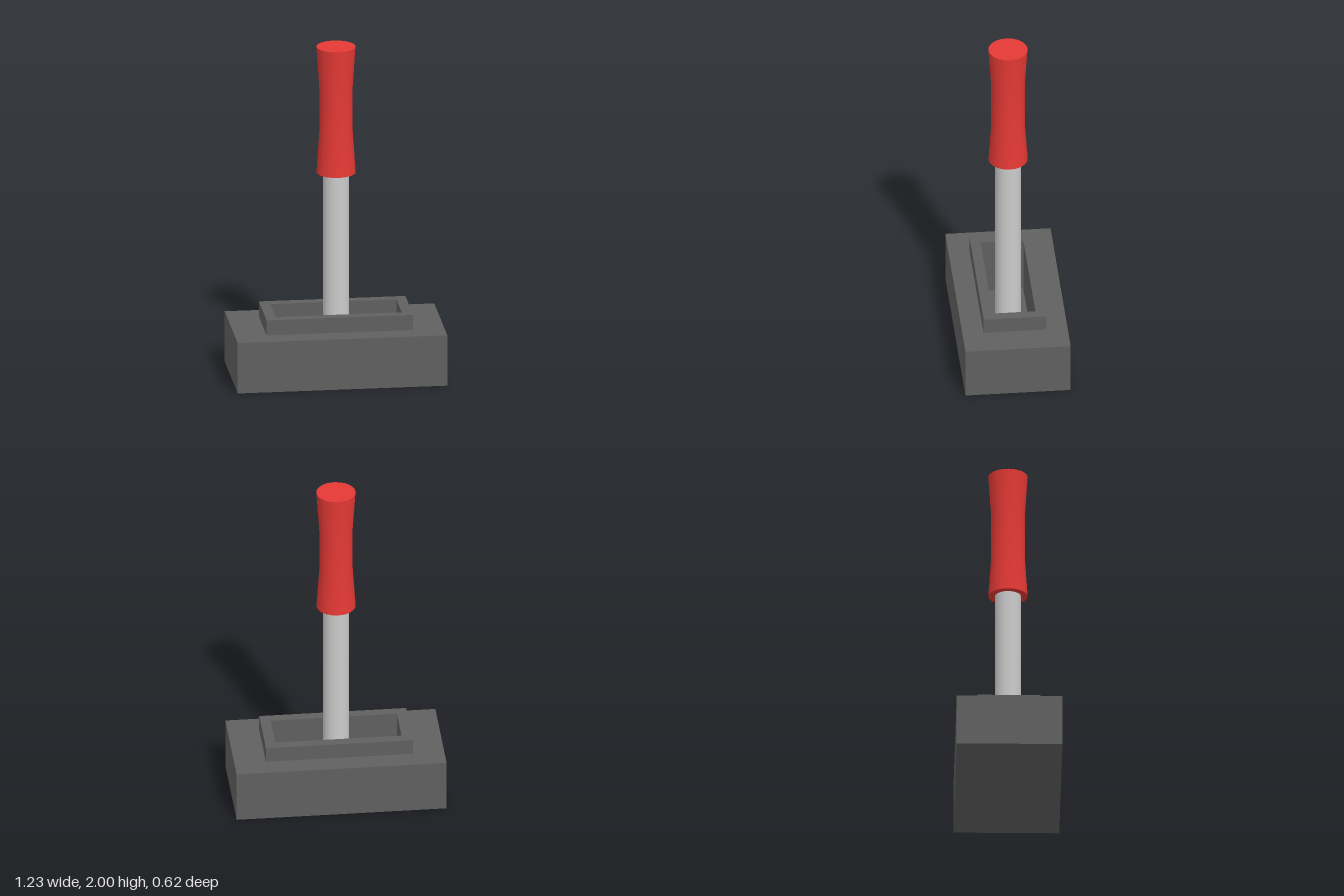
import * as THREE from 'three';

const DARK = 0x606060, RED = 0xe53935, GREY = 0xcccccc;
const SEGMENTS = 20;
const FLOOR = 0.06; // floor height of the pocket in the head

function part(name, geometry, color) {
  const mesh = new THREE.Mesh(geometry, new THREE.MeshStandardMaterial({ color }));
  mesh.name = name;
  return mesh;
}

function rectangle(PathType, halfX, halfZ) {
  return new PathType([
    new THREE.Vector2(-halfX, -halfZ), new THREE.Vector2(halfX, -halfZ),
    new THREE.Vector2(halfX, halfZ), new THREE.Vector2(-halfX, halfZ),
  ]);
}

// Rectangular slab from y0 to y1, pierced by the pocket
function piercedSlab(name, halfX, halfZ, y0, y1) {
  const shape = rectangle(THREE.Shape, halfX, halfZ);
  shape.holes.push(rectangle(THREE.Path, 0.37, 0.125));
  const geometry = new THREE.ExtrudeGeometry(shape, { depth: y1 - y0, bevelEnabled: false });
  geometry.rotateX(-Math.PI / 2).translate(0, y0, 0);
  return part(name, geometry, DARK);
}

export function createModel() {
  const model = new THREE.Group();

  // Heavy head with a raised collar around the deep pocket
  const head = new THREE.Group();
  head.name = 'head';
  const base = part('basePlate', new THREE.BoxGeometry(1.23, FLOOR, 0.616), DARK);
  base.position.y = FLOOR / 2;
  head.add(
    base,
    piercedSlab('headBlock', 0.615, 0.308, FLOOR, 0.308),
    piercedSlab('collar', 0.43, 0.184, 0.308, 0.4),
  );

  // Shaft runs from the pocket floor into the grip
  const shaftTop = 1.3;
  const shaft = part('shaft',
    new THREE.CylinderGeometry(0.077, 0.077, shaftTop - FLOOR, SEGMENTS), GREY);
  shaft.position.y = (shaftTop + FLOOR) / 2;

  // Waisted grip with flat ends
  const grip = new THREE.Group();
  grip.name = 'grip';
  const profile = [[0.115, 1.232], [0.098, 1.48], [0.098, 1.75], [0.115, 2]]
    .map(([r, y]) => new THREE.Vector2(r, y));
  grip.add(part('gripSleeve', new THREE.LatheGeometry(profile, SEGMENTS), RED));
  for (const [name, y, turn] of [['gripTop', 2, -1], ['gripBottom', 1.232, 1]]) {
    const cap = part(name, new THREE.CircleGeometry(0.115, SEGMENTS), RED);
    cap.rotation.x = turn * Math.PI / 2;
    cap.position.y = y;
    grip.add(cap);
  }

  model.add(head, shaft, grip);
  return model;
}
